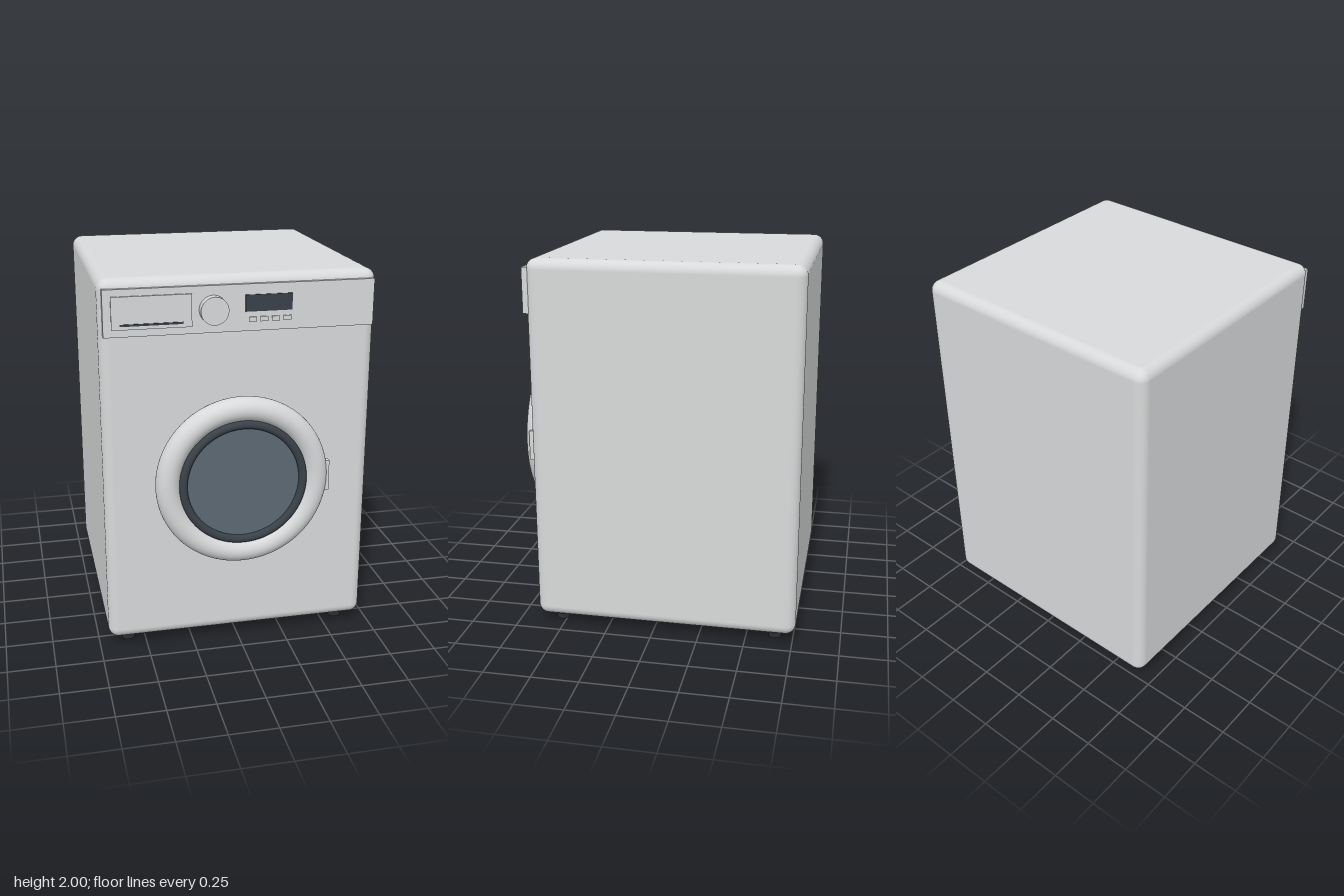
import * as THREE from 'three';
import { RoundedBoxGeometry } from 'three/addons/geometries/RoundedBoxGeometry.js';

const paint = (name, color) => {
  const m = new THREE.MeshStandardMaterial({ color });
  m.name = name;
  return m;
};

export function createModel() {
  const model = new THREE.Group();
  model.name = 'washingMachine';

  const enamel = paint('enamel', 0xd8d9da);
  const dark = paint('darkPlastic', 0x394149);
  const glass = paint('doorGlass', 0x5c6974);
  const rubber = paint('rubber', 0x2b3035);

  const add = (name, geometry, material, x, y, z, parent = model) => {
    const mesh = new THREE.Mesh(geometry, material);
    mesh.name = name;
    mesh.position.set(x, y, z);
    parent.add(mesh);
    return mesh;
  };
  // Box given by its x and y limits and its back and front z
  const plate = (name, material, x0, x1, y0, y1, z0, z1, parent) =>
    add(name, new THREE.BoxGeometry(x1 - x0, y1 - y0, z1 - z0), material,
      (x0 + x1) / 2, (y0 + y1) / 2, (z0 + z1) / 2, parent);
  // Cylinder whose axis points to the front
  const disc = (name, material, r, x, y, z0, z1, parent) =>
    add(name, new THREE.CylinderGeometry(r, r, z1 - z0, 64).rotateX(Math.PI / 2), material,
      x, y, (z0 + z1) / 2, parent);

  // Cabinet
  const bodyZ = -0.063;
  add('cabinet', new RoundedBoxGeometry(1.406, 1.947, 1.406, 6, 0.055), enamel, 0, 1.0265, bodyZ);

  // Feet
  for (const sx of [-1, 1]) {
    for (const sz of [-1, 1]) {
      add('foot', new THREE.CylinderGeometry(0.035, 0.035, 0.03, 24), rubber,
        sx * 0.59, 0.015, bodyZ + sz * 0.59);
    }
  }

  // Control panel
  const panel = new THREE.Group();
  panel.name = 'controlPanel';
  model.add(panel);
  plate('panelBoard', enamel, -0.683, 0.683, 1.72, 1.955, 0.625, 0.658, panel);
  plate('detergentDrawer', enamel, -0.643, -0.248, 1.757, 1.92, 0.65, 0.667, panel);
  plate('drawerGrip', dark, -0.603, -0.291, 1.775, 1.785, 0.663, 0.672, panel);
  disc('programKnob', enamel, 0.07, -0.142, 1.837, 0.65, 0.705, panel);
  plate('display', dark, 0.02, 0.258, 1.818, 1.902, 0.655, 0.663, panel);
  for (let i = 0; i < 4; i++) {
    const x = 0.057 + i * 0.0587;
    plate('button', enamel, x - 0.02, x + 0.02, 1.767, 1.791, 0.65, 0.665, panel);
  }

  // Door
  const door = new THREE.Group();
  door.name = 'door';
  door.position.y = 0.945;
  model.add(door);
  add('doorRim', new THREE.TorusGeometry(0.388, 0.0625, 32, 96), enamel, 0, 0, 0.7035, door);
  add('doorSeal', new THREE.TorusGeometry(0.313, 0.021, 20, 96), dark, 0, 0, 0.738, door);
  disc('doorWindow', glass, 0.312, 0, 0, 0.64, 0.733, door);
  plate('doorHandle', enamel, 0.425, 0.458, -0.082, 0.082, 0.695, 0.731, door);

  return model;
}
